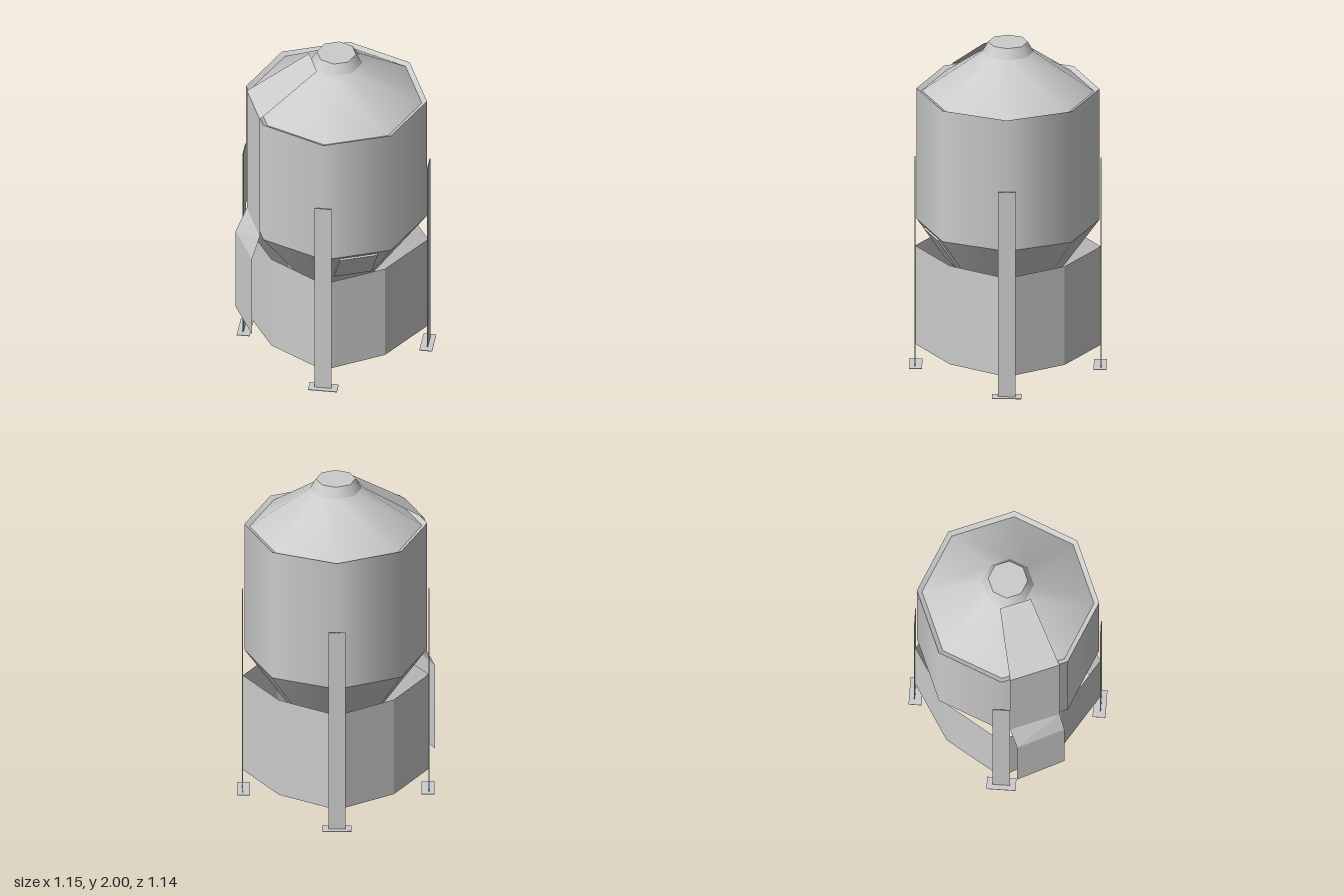
import * as THREE from 'three';

const grey = new THREE.MeshStandardMaterial({ color: 0xcccccc, side: THREE.DoubleSide });
const flatGrey = new THREE.MeshStandardMaterial({ color: 0xcccccc, side: THREE.DoubleSide, flatShading: true });

function add(parent, name, geometry, material = grey) {
  const mesh = new THREE.Mesh(geometry, material);
  mesh.name = name;
  parent.add(mesh);
  return mesh;
}

// One eight-sided band between two [radius, height] rings
function band(parent, name, from, to) {
  const points = [new THREE.Vector2(...from), new THREE.Vector2(...to)];
  return add(parent, name, new THREE.LatheGeometry(points, 8));
}

// Open sheet stretched over successive [left, right] edge pairs
function sheet(pairs) {
  const geometry = new THREE.BufferGeometry();
  const index = [];
  for (let i = 0; i < pairs.length - 1; i++) {
    const a = i * 2;
    index.push(a, a + 2, a + 1, a + 1, a + 2, a + 3);
  }
  geometry.setAttribute('position', new THREE.Float32BufferAttribute(pairs.flat(2), 3));
  geometry.setIndex(index);
  const flat = geometry.toNonIndexed();
  flat.computeVertexNormals();
  return flat;
}

export function createModel() {
  const model = new THREE.Group();
  model.name = 'silo';

  // Tank, from the hopper tip up to the flat cap; separate bands keep the rims sharp
  band(model, 'hopper', [0, 0.17], [0.53, 0.9]);
  band(model, 'tankWall', [0.53, 0.9], [0.53, 1.71]);
  band(model, 'tankRim', [0.53, 1.71], [0.5, 1.695]);
  band(model, 'roof', [0.5, 1.695], [0.15, 1.94]);
  band(model, 'neck', [0.15, 1.94], [0.115, 2]);
  band(model, 'cap', [0.115, 2], [0, 2]);

  // Open skirt: an octagon whose diagonal corners are pulled in
  const skirt = new THREE.CylinderGeometry(0.538, 0.538, 0.61, 8, 1, true);
  const pos = skirt.attributes.position;
  for (let i = 0; i < pos.count; i++) {
    const x = pos.getX(i), z = pos.getZ(i);
    if (Math.abs(x) > 0.1 && Math.abs(z) > 0.1) {
      pos.setX(i, Math.sign(x) * 0.333);
      pos.setZ(i, Math.sign(z) * 0.333);
    }
  }
  skirt.computeVertexNormals();
  add(model, 'skirt', skirt, flatGrey).position.y = 0.43;

  // Hatch on the hopper's front left face
  const hatchSide = new THREE.Group();
  hatchSide.name = 'hatchMount';
  hatchSide.rotation.y = Math.PI / 8;
  const hatch = add(hatchSide, 'hatch', new THREE.BoxGeometry(0.225, 0.25, 0.014), flatGrey);
  hatch.position.set(0.01, 0.776, 0.411);
  hatch.rotation.x = 0.591;
  model.add(hatchSide);

  // Bent chute sheet running down the roof, the wall and past the skirt
  add(model, 'chute', sheet([
    [[-0.165, 1.955, -0.035], [-0.095, 1.955, 0.14]],
    [[-0.518, 1.715, 0.05], [-0.402, 1.715, 0.328]],
    [[-0.518, 0.885, 0.05], [-0.402, 0.885, 0.328]],
    [[-0.577, 0.745, 0.095], [-0.443, 0.745, 0.36]],
    [[-0.577, 0.21, 0.095], [-0.443, 0.21, 0.36]],
  ]));

  // Four thin strap legs on flat foot plates
  for (let i = 0; i < 4; i++) {
    const leg = new THREE.Group();
    leg.name = 'leg' + (i + 1);
    leg.rotation.y = i * Math.PI / 2;
    add(leg, 'legStrap', new THREE.BoxGeometry(0.1, 1.27, 0.005), flatGrey).position.set(0, 0.635, 0.54);
    add(leg, 'footPlate', new THREE.BoxGeometry(0.17, 0.004, 0.075), flatGrey).position.set(0, 0.002, 0.535);
    model.add(leg);
  }
  return model;
}
